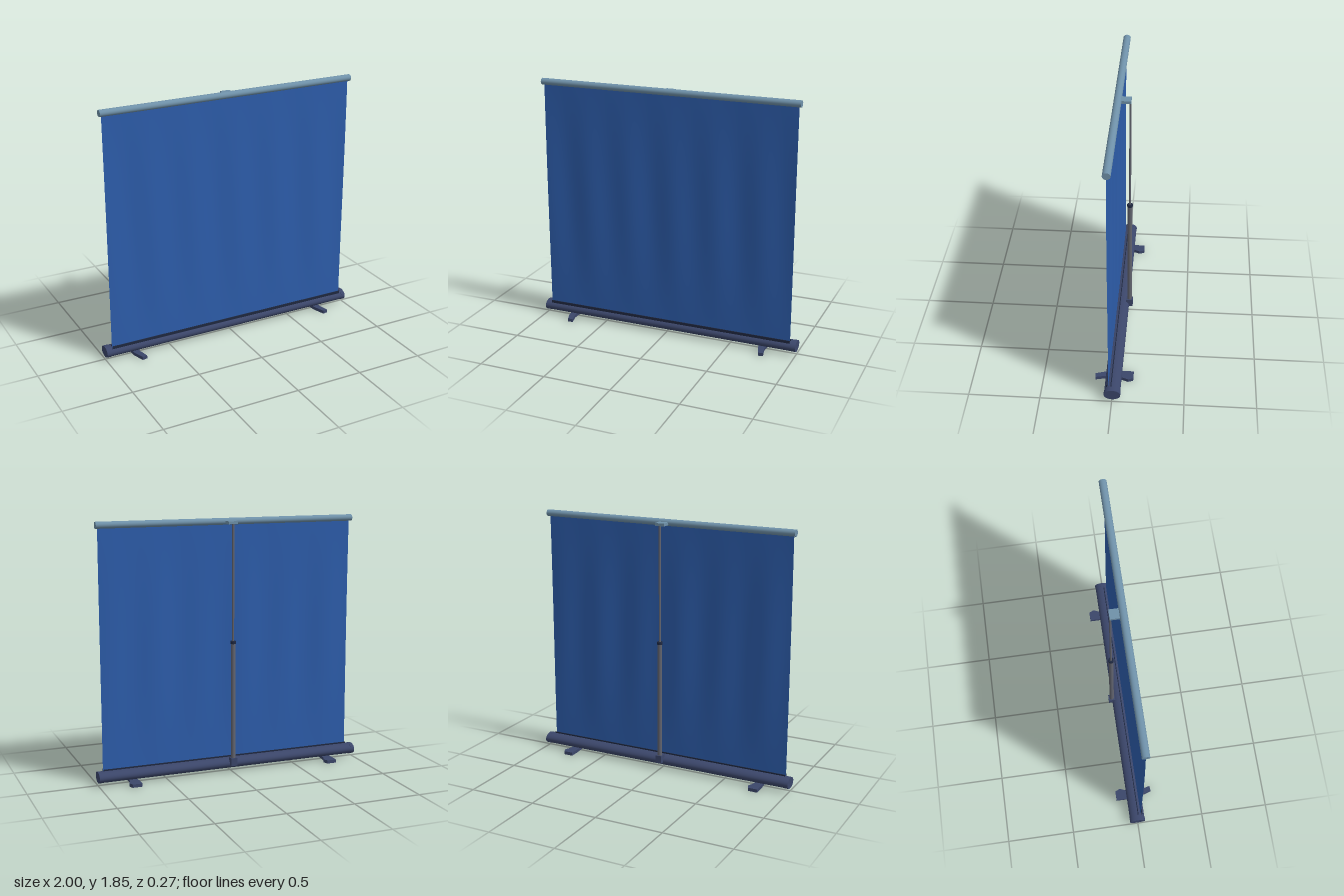
import * as THREE from 'three';

const mat = (name, color, extra = {}) => {
  const m = new THREE.MeshStandardMaterial({ color, ...extra });
  m.name = name;
  return m;
};

export function createModel() {
  const group = new THREE.Group();
  const navy = mat('navy casing', 0x3b466a);
  const black = mat('dark slot', 0x1f2840);
  const steel = mat('blue grey bar', 0x6f91a9);
  const grey = mat('grey pole', 0x62646f);
  const blue = mat('blue fabric', 0x2d5dab, { side: THREE.DoubleSide });

  const add = (name, geo, material, x, y, z) => {
    const mesh = new THREE.Mesh(geo, material);
    mesh.name = name;
    mesh.position.set(x, y, z);
    group.add(mesh);
    return mesh;
  };
  const box = (name, w, h, d, material, x, y, z) =>
    add(name, new THREE.BoxGeometry(w, h, d), material, x, y, z);
  // Horizontal tube along x with an oval section
  const ovalTube = (name, length, ry, rz, material, x, y, z) =>
    add(name, new THREE.CylinderGeometry(1, 1, length, 32).rotateZ(Math.PI / 2).scale(1, ry, rz), material, x, y, z);
  const pole = (name, r, y0, y1, material) =>
    add(name, new THREE.CylinderGeometry(r, r, y1 - y0, 20), material, 0, (y0 + y1) / 2, -0.061);

  // Base casing with end caps and the slot lips
  ovalTube('casing', 1.94, 0.039, 0.056, navy, 0, 0.06, -0.002);
  for (const s of [-1, 1]) {
    ovalTube('casingEndCap', 0.03, 0.04, 0.058, navy, s * 0.985, 0.06, -0.002);
  }
  for (const z of [0.008, 0.037]) {
    box('slotLip', 1.91, 0.02, 0.006, black, 0, 0.098, z);
  }

  // Fabric with soft vertical folds that fade out at both ends
  const fabric = new THREE.PlaneGeometry(1.91, 1.72, 96, 32);
  const p = fabric.attributes.position;
  for (let i = 0; i < p.count; i++) {
    const x = p.getX(i);
    const v = p.getY(i) / 1.72 + 0.5;
    const fold = 0.7 * Math.sin(x * 19 + v * 1.2) + 0.3 * Math.sin(x * 9 - v);
    p.setZ(i, 0.008 * Math.sin(Math.PI * v) * fold);
  }
  fabric.computeVertexNormals();
  add('fabric', fabric, blue, 0, 0.95, 0.027);

  // Top bar and the arm that hooks it to the pole
  ovalTube('topBar', 1.94, 0.024, 0.027, steel, 0, 1.824, 0.025);
  box('topArm', 0.07, 0.02, 0.075, steel, 0, 1.82, -0.03);

  // Telescopic pole at the back
  pole('lowerPole', 0.017, 0.08, 0.96, grey);
  pole('poleCollar', 0.02, 0.957, 0.977, black);
  pole('upperPole', 0.0075, 0.96, 1.812, grey);
  box('poleBracket', 0.046, 0.058, 0.05, navy, 0, 0.082, -0.061);

  // Bent feet, both turned the same way
  const outline = [
    [-0.045, -0.137], [0.025, -0.137], [0.04, -0.1], [0.025, -0.065], [0.012, 0],
    [0.012, 0.05], [0.03, 0.13], [-0.007, 0.135], [-0.035, 0.05], [-0.045, -0.065],
  ].map(([x, z]) => new THREE.Vector2(x, -z));
  const foot = new THREE.ExtrudeGeometry(new THREE.Shape(outline), { depth: 0.024, bevelEnabled: false });
  foot.rotateX(-Math.PI / 2);
  for (const x of [-0.76, 0.76]) add('foot', foot, navy, x, 0, 0);

  return group;
}
